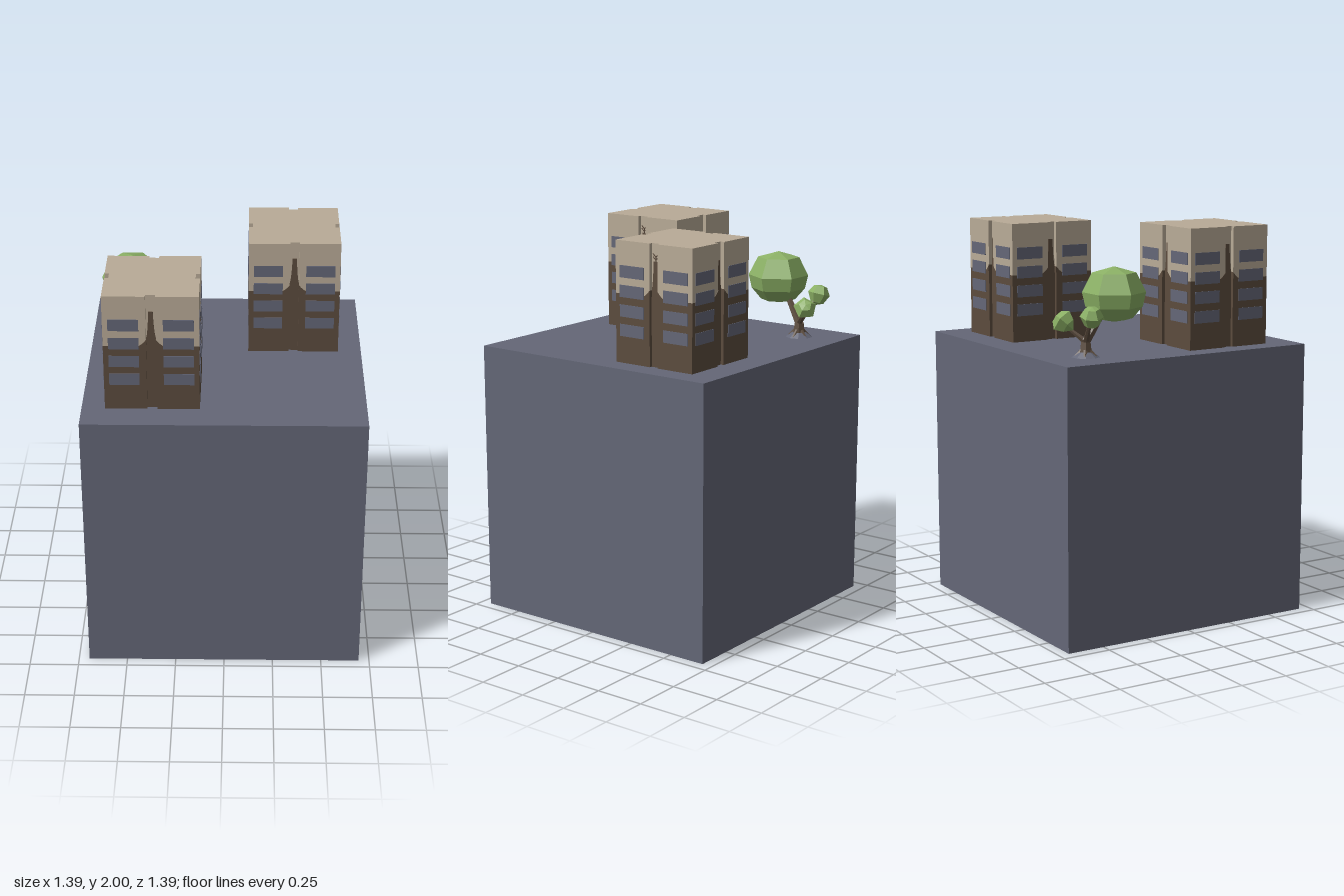
import * as THREE from 'three';

const mat = (name, color) => {
  const m = new THREE.MeshStandardMaterial({ color });
  m.name = name;
  return m;
};

export function createModel() {
  const slate = mat('slate', 0x646777);
  slate.side = THREE.DoubleSide;
  const beige = mat('beige', 0xb9ab97);
  const brown = mat('brown', 0x5c4c3e);
  const green = mat('leaf green', 0x8bb065);

  const model = new THREE.Group();
  model.name = 'cityBlock';

  const add = (parent, name, geo, material, x = 0, y = 0, z = 0) => {
    const m = new THREE.Mesh(geo, material);
    m.name = name;
    m.position.set(x, y, z);
    parent.add(m);
    return m;
  };
  const faceted = (geo) => {
    const g = geo.toNonIndexed();
    g.computeVertexNormals();
    return g;
  };

  // Ground block: five walls, open underneath
  const W = 1.392, TOP = 1.397;
  const block = new THREE.BoxGeometry(W, TOP, W);
  block.setIndex(Array.from(block.index.array).filter((_, i) => i < 18 || i > 23));
  block.clearGroups();
  add(model, 'groundBlock', block, slate, 0, TOP / 2, 0);

  // Tower plan: square with a notch in the middle of each side
  const H = 0.231, N = 0.024, D = 0.021;
  const plan = new THREE.Shape();
  for (let k = 0; k < 4; k++) {
    const c = Math.round(Math.cos(k * Math.PI / 2)), s = Math.round(Math.sin(k * Math.PI / 2));
    [[-H, -H], [-N, -H], [-N, -H + D], [N, -H + D], [N, -H]].forEach(([x, y], i) => {
      const px = x * c - y * s, py = x * s + y * c;
      if (k === 0 && i === 0) plan.moveTo(px, py);
      else plan.lineTo(px, py);
    });
  }
  const storey = (h) => {
    const g = new THREE.ExtrudeGeometry(plan, { depth: h, bevelEnabled: false });
    return g.rotateX(-Math.PI / 2);
  };
  const SPLIT = 0.343, FULL = 0.603;

  // Tapering spire standing in the notch
  const spire = new THREE.Shape();
  spire.moveTo(-N, 0);
  spire.lineTo(N, 0);
  spire.lineTo(N, 0.375);
  spire.quadraticCurveTo(0.015, 0.4, 0.011, 0.515);
  spire.lineTo(-0.011, 0.515);
  spire.quadraticCurveTo(-0.015, 0.4, -N, 0.375);
  const spireGeo = new THREE.ExtrudeGeometry(spire, { depth: 0.005, bevelEnabled: false });

  // Curved sweep beside the notch
  const sweep = new THREE.Shape();
  sweep.moveTo(N, SPLIT);
  sweep.lineTo(0.06, SPLIT);
  sweep.quadraticCurveTo(0.04, SPLIT + 0.01, N, SPLIT + 0.032);
  const sweepR = new THREE.ExtrudeGeometry(sweep, { depth: 0.002, bevelEnabled: false });
  const sweepL = sweepR.clone().rotateY(Math.PI).translate(0, 0, 0.002);

  const windowGeo = new THREE.BoxGeometry(0.147, 0.06, 0.004);
  const jambGeo = new THREE.BoxGeometry(0.002, 0.032, D);
  const twigGeo = new THREE.BoxGeometry(0.004, 0.024, 0.003);

  const tower = (name, x, z) => {
    const t = new THREE.Group();
    t.name = name;
    t.position.set(x, TOP, z);
    model.add(t);
    add(t, 'lowerWalls', storey(SPLIT), brown);
    add(t, 'upperWalls', storey(FULL - SPLIT), beige, 0, SPLIT, 0);
    for (let k = 0; k < 4; k++) {
      const side = new THREE.Group();
      side.name = 'facade';
      side.rotation.y = k * Math.PI / 2;
      t.add(side);
      add(side, 'spire', spireGeo, brown, 0, 0, H - D);
      add(side, 'sweepRight', sweepR, brown, 0, 0, H);
      add(side, 'sweepLeft', sweepL, brown, 0, 0, H);
      for (const s of [-1, 1]) {
        add(side, 'notchJamb', jambGeo, brown, s * N, SPLIT + 0.016, H - D / 2);
        for (let r = 0; r < 4; r++)
          add(side, 'window', windowGeo, slate, s * 0.132, 0.163 + r * 0.0965, H + 0.001);
      }
      // Small forked finial on one side only
      if (k === 1) {
        add(side, 'finialStem', twigGeo, brown, 0, 0.526, H - D + 0.002);
        for (const s of [-1, 1]) for (const y of [0.53, 0.545])
          add(side, 'finialTwig', twigGeo, brown, s * 0.008, y, H - D + 0.002).rotation.z = -s * 0.8;
      }
    }
  };
  tower('frontTower', -0.35, 0.305);
  tower('backTower', 0.346, -0.31);

  // Tree
  const tree = new THREE.Group();
  tree.name = 'tree';
  model.add(tree);
  const V = (x, y, z) => new THREE.Vector3(x, y, z);
  const up = V(0, 1, 0);

  const limb = (name, a, b, r0, r1) => {
    const d = b.clone().sub(a);
    const g = faceted(new THREE.CylinderGeometry(r1, r0, d.length(), 6));
    const mid = a.clone().add(b).multiplyScalar(0.5);
    add(tree, name, g, brown, mid.x, mid.y, mid.z).quaternion.setFromUnitVectors(up, d.normalize());
  };
  const clump = (name, c, profile, sides, phase, axis = up) => {
    const pts = profile.map(([r, y]) => new THREE.Vector2(r, y));
    const g = faceted(new THREE.LatheGeometry(pts, sides, phase));
    add(tree, name, g, green, c.x, c.y, c.z).quaternion.setFromUnitVectors(up, axis.clone().normalize());
  };

  // Flared root skirt and trunk
  const foot = V(-0.47, TOP, -0.46), fork = V(-0.47, 1.47, -0.46);
  add(tree, 'rootSkirt', faceted(new THREE.CylinderGeometry(0.035, 0.07, 0.025, 9, 1, true)), slate,
    foot.x, TOP + 0.0125, foot.z);
  limb('trunk', foot, fork, 0.036, 0.026);
  for (let i = 0; i < 5; i++) {
    const a = i * Math.PI * 2 / 5;
    limb('root', V(foot.x + 0.055 * Math.cos(a), TOP, foot.z + 0.055 * Math.sin(a)),
      V(foot.x, TOP + 0.05, foot.z), 0.008, 0.014);
  }
  limb('mainBranch', fork, V(-0.485, 1.61, -0.37), 0.024, 0.014);
  limb('rightBranch', fork, V(-0.575, 1.59, -0.495), 0.016, 0.008);
  limb('leftBranch', fork, V(-0.41, 1.54, -0.53), 0.016, 0.008);

  // Foliage
  clump('mainCanopy', V(-0.49, 1.695, -0.312),
    [[0, -0.135], [0.09, -0.118], [0.14, -0.06], [0.156, 0.01], [0.108, 0.105], [0, 0.135]], 6, Math.PI / 6);
  const small = [[0, -0.055], [0.034, -0.042], [0.058, 0.005], [0.034, 0.045], [0, 0.052]];
  clump('rightClump', V(-0.592, 1.605, -0.5), small, 6, Math.PI / 6, V(-0.25, 1, -0.1));
  clump('leftClump', V(-0.4, 1.562, -0.54),
    [[0, -0.06], [0.04, -0.03], [0.062, 0.012], [0.034, 0.045], [0, 0.05]], 5, 0.4, V(0.7, 0.6, -0.5));

  return model;
}
